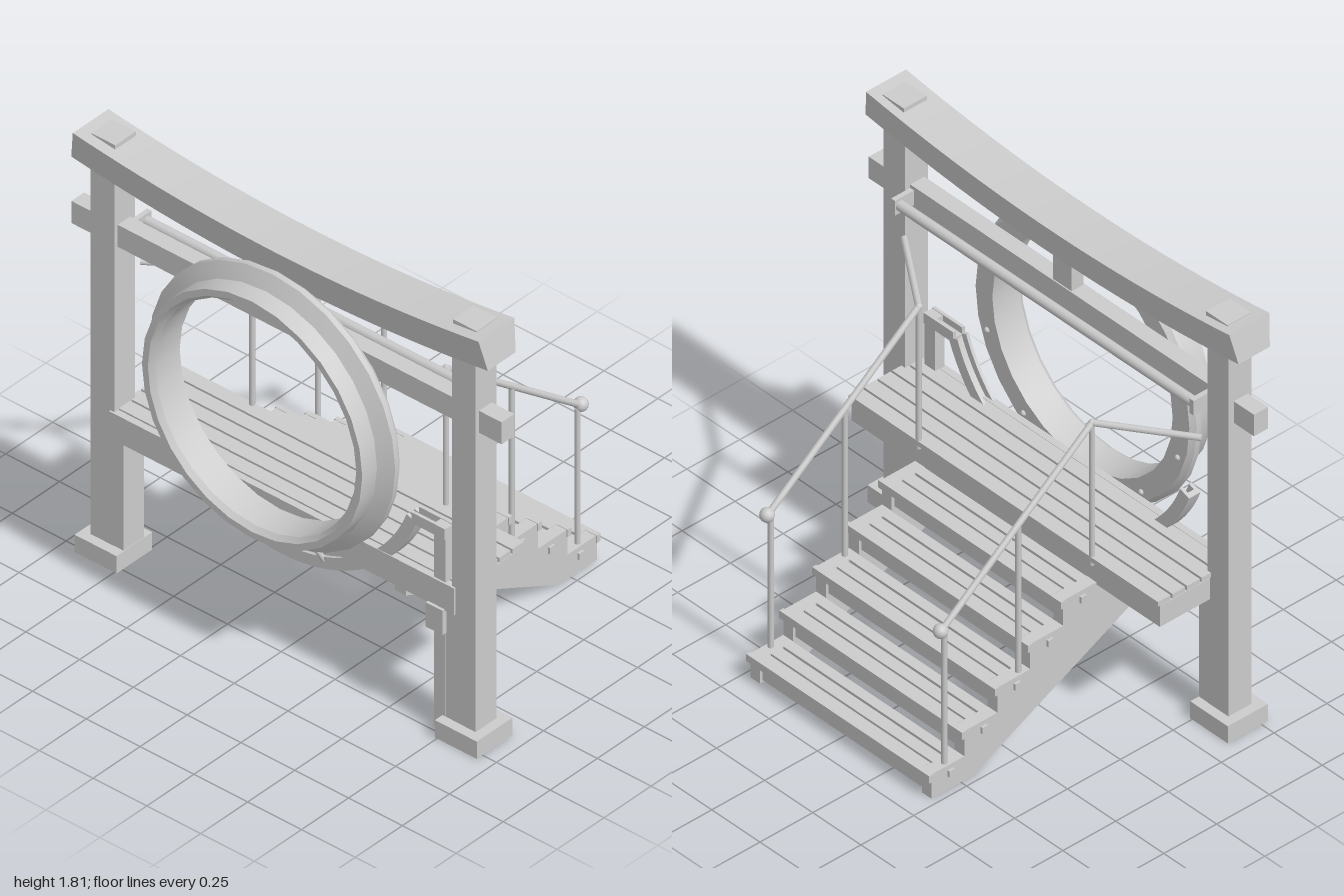
import * as THREE from 'three';
import { toCreasedNormals } from 'three/addons/utils/BufferGeometryUtils.js';

const mat = new THREE.MeshStandardMaterial({ color: 0xcccccc, side: THREE.DoubleSide });
const V = (x, y, z) => new THREE.Vector3(x, y, z);

export function createModel() {
  const root = new THREE.Group();

  const add = (name, geo, x = 0, y = 0, z = 0) => {
    const m = new THREE.Mesh(geo, mat);
    m.name = name;
    m.position.set(x, y, z);
    root.add(m);
    return m;
  };
  // box given by its minimum and maximum on each axis
  const box = (name, x0, x1, y0, y1, z0, z1) =>
    add(name, new THREE.BoxGeometry(x1 - x0, y1 - y0, z1 - z0), (x0 + x1) / 2, (y0 + y1) / 2, (z0 + z1) / 2);
  // round bar between two points
  const rod = (name, a, b, r, sides = 10) => {
    const d = b.clone().sub(a);
    const m = add(name, new THREE.CylinderGeometry(r, r, d.length(), sides));
    m.position.copy(a).add(b).multiplyScalar(0.5);
    m.quaternion.setFromUnitVectors(V(0, 1, 0), d.normalize());
    return m;
  };
  const mirrored = (name, s, x0, x1, y0, y1, z0, z1) =>
    box(name, Math.min(s * x0, s * x1), Math.max(s * x0, s * x1), y0, y1, z0, z1);

  // gate posts with wider lower legs, footings and tenons
  for (const s of [-1, 1]) {
    mirrored('post', s, 0.785, 0.895, 0, 1.76, 0.38, 0.49);
    mirrored('lowerLeg', s, 0.742, 0.894, 0.01, 0.54, 0.381, 0.489);
    mirrored('footing', s, 0.74, 0.935, 0, 0.075, 0.34, 0.53);
    mirrored('postTenon', s, 0.785, 0.895, 1.74, 1.806, 0.375, 0.485);
  }

  // curved top beam: ends lift, the underside is narrower and longer
  const lintel = new THREE.BoxGeometry(2, 0.125, 0.19, 24, 1, 1);
  const p = lintel.attributes.position;
  for (let i = 0; i < p.count; i++) {
    const top = p.getY(i) > 0;
    const u = p.getX(i);
    p.setXYZ(i, u * (top ? 0.943 : 0.968), (top ? 1.742 : 1.617) + 0.066 * u * u,
      0.435 + p.getZ(i) * (top ? 1 : 0.78));
  }
  lintel.computeVertexNormals();
  add('topBeam', toCreasedNormals(lintel, 0.5));

  // tie beam, centre strut and rear hanging pole
  box('tieBeam', -1, 1, 1.36, 1.455, 0.405, 0.472);
  box('centreStrut', -0.048, 0.048, 1.45, 1.64, 0.41, 0.467);
  rod('hangingPole', V(-0.78, 1.408, 0.34), V(0.78, 1.408, 0.34), 0.021, 12);
  for (const s of [-1, 1]) {
    mirrored('poleBracket', s, 0.765, 0.785, 1.375, 1.44, 0.315, 0.41);
  }

  // round ring with a flared rim
  const profile = [[0.468, 0.505], [0.555, 0.505], [0.572, 0.525], [0.572, 0.548], [0.515, 0.58],
    [0.512, 0.655], [0.485, 0.655], [0.468, 0.635], [0.468, 0.505]].map(a => new THREE.Vector2(...a));
  const ring = add('ring', toCreasedNormals(new THREE.LatheGeometry(profile, 28), 0.45), 0, 1.087, 0);
  ring.rotation.x = Math.PI / 2;
  for (let i = 0; i < 10; i++) {
    const a = (i + 0.5) / 10 * Math.PI * 2;
    add('ringBolt', new THREE.SphereGeometry(0.012, 8, 6), 0.52 * Math.cos(a), 1.087 + 0.52 * Math.sin(a), 0.505);
  }

  // arched trough under the ring, held by short spokes
  const a0 = Math.PI + 0.36, a1 = 2 * Math.PI - 0.36;
  const arcBand = (name, r0, r1, z, depth) => {
    const s = new THREE.Shape();
    s.absarc(0, 0, r1, a0, a1, false);
    s.absarc(0, 0, r0, a1, a0, true);
    const g = new THREE.ExtrudeGeometry(s, { depth, bevelEnabled: false, curveSegments: 24 });
    add(name, toCreasedNormals(g, 0.5), 0, 1.087, z);
  };
  arcBand('troughFloor', 0.645, 0.667, 0.44, 0.055);
  arcBand('troughFrontWall', 0.618, 0.65, 0.482, 0.013);
  arcBand('troughBackWall', 0.618, 0.65, 0.44, 0.013);
  for (const s of [-1, 1]) {
    rod('troughSpoke', V(s * 0.165, 0.545, 0.515), V(s * 0.19, 0.475, 0.485), 0.011, 8);
  }

  // spout and downpipe at the left post
  box('spout', 0.6, 0.755, 0.842, 0.86, 0.44, 0.495);
  for (const z of [0.44, 0.482]) box('spoutWall', 0.6, 0.755, 0.855, 0.888, z, z + 0.013);
  box('downpipe', 0.7, 0.755, 0.01, 0.885, 0.445, 0.49);
  box('pipeCollar', 0.68, 0.758, 0.44, 0.545, 0.435, 0.51);
  const loop = new THREE.CatmullRomCurve3([V(0.7, 0.54, 0.46), V(0.655, 0.52, 0.42), V(0.643, 0.47, 0.37),
    V(0.66, 0.42, 0.35), V(0.7, 0.405, 0.4)]);
  add('pipeLoop', new THREE.TubeGeometry(loop, 16, 0.008, 8));

  // platform: solid frame with spaced deck boards
  box('platformFrame', -0.8, 0.8, 0.54, 0.632, 0.142, 0.495);
  box('frontFascia', -0.802, 0.802, 0.54, 0.655, 0.47, 0.498);
  for (let i = 0; i < 5; i++) {
    const z = 0.13 + i * 0.069;
    box('deckBoard', -0.803, 0.803, 0.637, 0.658, z, z + 0.06);
  }

  // stair stringers, cut as a stepped outline in the side plane
  const steps = 5, run = 0.156, rise = 0.111;
  const treadY = i => 0.55 - i * rise;
  const edgeZ = i => -0.015 - i * run;
  const side = new THREE.Shape();
  side.moveTo(0.375, 0.4);
  side.lineTo(0.375, 0.55);
  for (let i = 0; i < steps; i++) {
    side.lineTo(edgeZ(i), treadY(i));
    side.lineTo(edgeZ(i), i < steps - 1 ? treadY(i + 1) : 0);
  }
  side.lineTo(-0.44, 0);
  side.closePath();
  for (const x of [-0.47, 0.42]) {
    const m = add('stringer', new THREE.ExtrudeGeometry(side, { depth: 0.05, bevelEnabled: false }), x + 0.05);
    m.rotation.y = -Math.PI / 2;
  }

  // treads of two boards with nosing, risers and tie bars
  for (let i = 0; i < steps; i++) {
    const y = treadY(i), z = edgeZ(i);
    box('treadNosing', -0.42, 0.42, y - 0.03, y + 0.002, z - 0.015, z + 0.042);
    box('treadBoard', -0.42, 0.42, y - 0.027, y, z + 0.052, z + 0.102);
    box('treadBackBoard', -0.42, 0.42, y - 0.027, y, z + 0.112, z + 0.155);
    box('riser', -0.42, 0.42, y - rise + 0.015, y - 0.025, z + 0.012, z + 0.025);
    for (const s of [-1, 1]) {
      mirrored('nosingEnd', s, 0.42, 0.475, y - 0.03, y + 0.002, z - 0.015, z + 0.005);
    }
    box('tieBar', -0.48, 0.48, y - 0.049, y - 0.021, z + 0.077, z + 0.103);
  }

  // handrails with posts and ball ends
  for (const s of [-1, 1]) {
    const x = s * 0.45;
    const foot = V(x, 0.695, -0.575), head = V(x, 1.245, 0.14), end = V(s * 0.772, 1.245, 0.365);
    rod('slopedRail', foot, head, 0.013);
    rod('upperRail', head, end, 0.013);
    add('railJoint', new THREE.SphereGeometry(0.014, 10, 8), x, 1.245, 0.14);
    add('railBall', new THREE.SphereGeometry(0.028, 14, 10), x, 0.697, -0.578);
    rod('railPost', V(x, 0.1, -0.56), V(x, 0.69, -0.56), 0.011);
    rod('railPost', V(x, 0.32, -0.21), V(x, 0.97, -0.21), 0.011);
    rod('railPost', V(x, 0.62, 0.14), V(x, 1.245, 0.14), 0.011);
  }

  return root;
}
